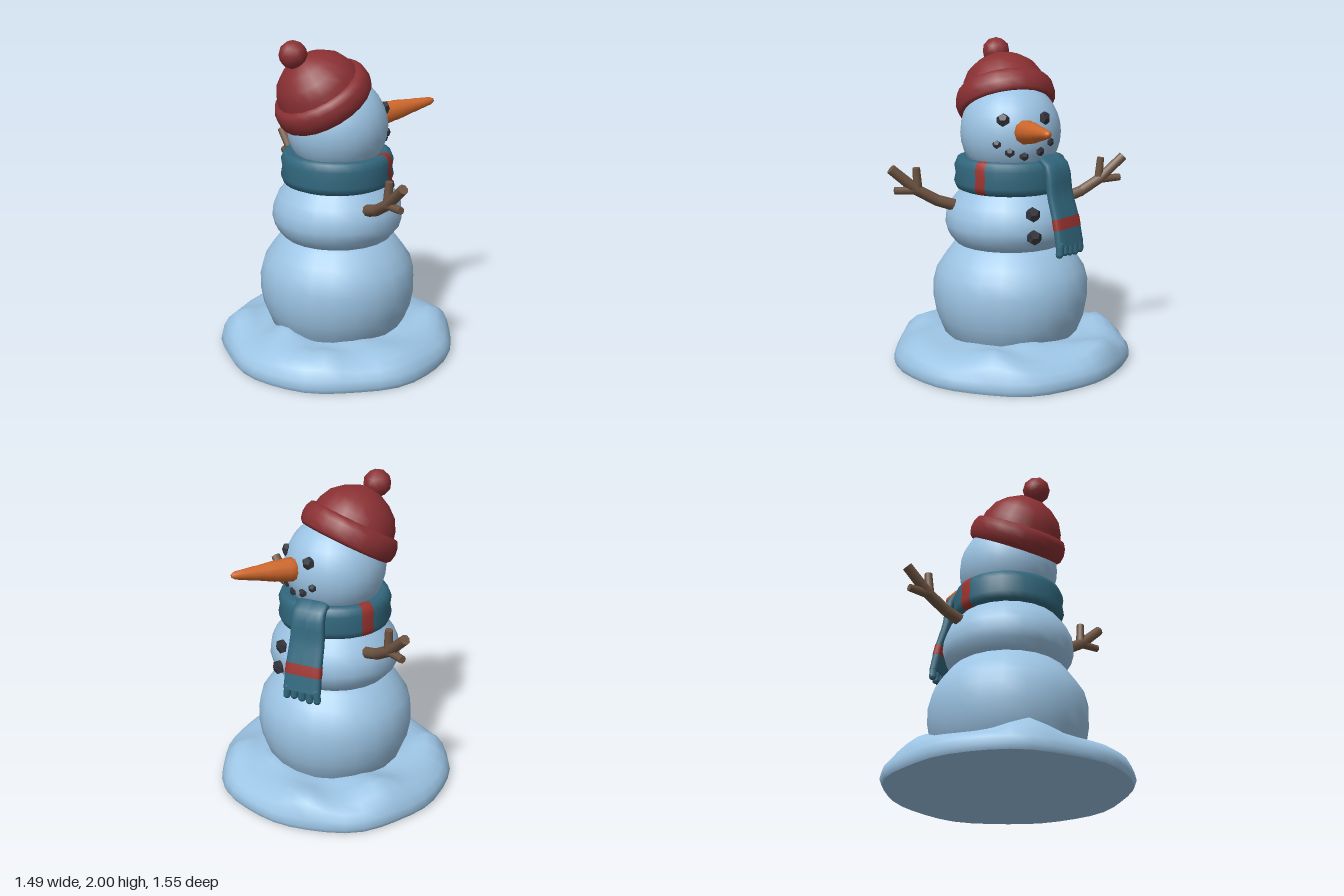
import * as THREE from 'three';
import { mergeVertices } from 'three/addons/utils/BufferGeometryUtils.js';

const paint = (name, color) => {
  const m = new THREE.MeshStandardMaterial({ color });
  m.name = name;
  return m;
};

const pts = (list) => list.map(([r, y]) => new THREE.Vector2(r, y));

// Smooth the normals after vertices have been moved
function smooth(geo) {
  geo.deleteAttribute('normal');
  geo.deleteAttribute('uv');
  const g = mergeVertices(geo, 1e-5);
  g.computeVertexNormals();
  return g;
}

// Move each vertex by a rule
function warp(geo, rule) {
  const p = geo.attributes.position;
  const v = new THREE.Vector3();
  for (let i = 0; i < p.count; i++) {
    rule(v.fromBufferAttribute(p, i));
    p.setXYZ(i, v.x, v.y, v.z);
  }
  return geo;
}

export function createModel() {
  const model = new THREE.Group();
  model.name = 'snowman';
  const snow = paint('snow', 0x9cc4e4);
  const hatRed = paint('hatRed', 0x8a3033);
  const stripeRed = paint('stripeRed', 0x9c3430);
  const teal = paint('scarfTeal', 0x32687e);
  const orange = paint('carrotOrange', 0xd0682c);
  const coal = paint('coal', 0x31323a);
  const bark = paint('bark', 0x6e5442);

  const add = (name, geo, mat, parent = model) => {
    const mesh = new THREE.Mesh(geo, mat);
    mesh.name = name;
    parent.add(mesh);
    return mesh;
  };
  const group = (name) => {
    const g = new THREE.Group();
    g.name = name;
    model.add(g);
    return g;
  };

  // Lumpy snow mound with a flat underside
  const lumps = [[-0.56, -0.28], [0.5, -0.45], [0.56, 0.28], [-0.35, 0.5], [0.42, 0.05], [-0.42, 0.1], [0.05, -0.58]];
  const mound = (v) => {
    const a = Math.atan2(v.z, v.x);
    const k = 1 + 0.012 * Math.sin(5 * a + 1) + 0.008 * Math.sin(9 * a);
    v.x *= k;
    v.z *= k;
    if (v.y > 0.1) {
      v.y += 0.012 * Math.sin(6 * a + 8 * Math.hypot(v.x, v.z));
      for (const [x, z] of lumps) v.y += 0.05 * Math.exp(-((v.x - x) ** 2 + (v.z - z) ** 2) / 0.012);
    }
  };
  const moundProfile = pts([[0.73, 0], [0.745, 0.03], [0.735, 0.075], [0.705, 0.12], [0.65, 0.155],
    [0.59, 0.175], [0.53, 0.18], [0.47, 0.185], [0.42, 0.19], [0.2, 0.19]]);
  add('snowMound', smooth(warp(new THREE.LatheGeometry(moundProfile, 40), mound)), snow);
  add('moundUnderside', smooth(warp(new THREE.LatheGeometry(pts([[0, 0], [0.73, 0]]), 40), mound)), snow);

  // Stacked snowballs
  const lower = pts([[0.36, 0.1], [0.43, 0.2], [0.47, 0.3], [0.488, 0.4], [0.488, 0.5], [0.465, 0.59],
    [0.42, 0.66], [0.36, 0.74], [0.28, 0.8], [0, 0.84]]);
  add('lowerBody', new THREE.LatheGeometry(lower, 22), snow);
  const upper = pts([[0.28, 0.7], [0.35, 0.77], [0.39, 0.82], [0.407, 0.88], [0.4, 0.95],
    [0.37, 1.02], [0.32, 1.08], [0.28, 1.13], [0.24, 1.22]]);
  add('upperBody', new THREE.LatheGeometry(upper, 22), snow);
  const headY = 1.45, headR = 0.312;
  add('head', new THREE.SphereGeometry(headR, 22, 16), snow).position.y = headY;

  // Coal eyes, mouth and buttons, flattened against the snow
  const lump = (name, x, y, z, r) => {
    const mesh = add(name, new THREE.DodecahedronGeometry(r), coal);
    mesh.position.set(x, y, z);
    mesh.rotation.y = -Math.atan2(z, x);
    mesh.scale.x = 0.65;
  };
  const onHead = (name, y, z, r) => lump(name, Math.sqrt(headR ** 2 - (y - headY) ** 2 - z * z), y, z, r);
  for (const s of [-1, 1]) {
    onHead('eye', 1.555, 0.13 * s, 0.042);
    onHead('mouthCoal', 1.41, 0.168 * s, 0.027);
    onHead('mouthCoal', 1.36, 0.095 * s, 0.03);
  }
  onHead('mouthCoal', 1.335, 0.008, 0.029);
  lump('upperButton', 0.39, 1.0, -0.015, 0.048);
  lump('lowerButton', 0.415, 0.865, -0.015, 0.048);

  // Carrot nose with ridges
  const carrot = pts([[0, 0], [0.06, 0], [0.074, 0.03], [0.071, 0.07], [0.062, 0.13], [0.063, 0.15],
    [0.053, 0.21], [0.043, 0.27], [0.042, 0.29], [0.031, 0.36], [0.024, 0.41], [0.012, 0.43], [0, 0.432]]);
  const nose = add('carrotNose', new THREE.LatheGeometry(carrot, 10), orange);
  nose.position.set(0.272, 1.478, 0);
  nose.rotation.z = -Math.PI / 2 + 0.11;

  // Tilted knitted hat
  const hat = group('hat');
  hat.position.set(-0.07, 1.585, 0);
  hat.rotation.z = 0.53;
  const brim = pts([[0.25, 0.01], [0.285, -0.008], [0.303, 0.01], [0.312, 0.055], [0.306, 0.1],
    [0.288, 0.135], [0.25, 0.145]]);
  add('hatBrim', new THREE.LatheGeometry(brim, 22), hatRed, hat);
  const dome = pts([[0.268, 0.11], [0.252, 0.18], [0.215, 0.25], [0.15, 0.305], [0.07, 0.345], [0, 0.36]]);
  add('hatCrown', new THREE.LatheGeometry(dome, 20), hatRed, hat);
  add('hatPompom', new THREE.IcosahedronGeometry(0.087, 1), hatRed, hat).position.set(-0.03, 0.4, 0);

  // Scarf ring, with two red bands between the teal lengths
  const scarf = group('scarf');
  const wrap = pts([[0.24, 1.1], [0.3, 1.09], [0.335, 1.105], [0.35, 1.145], [0.34, 1.195],
    [0.348, 1.245], [0.33, 1.288], [0.3, 1.3], [0.24, 1.28]]);
  const bands = [[0.6, 0.8, stripeRed], [0.8, 3.08, teal], [3.08, 3.32, stripeRed], [3.32, 0.6 + 2 * Math.PI, teal]];
  for (const [from, to, mat] of bands) {
    const n = Math.ceil((to - from) / 0.22);
    add(mat === teal ? 'scarfWrap' : 'scarfBand', new THREE.LatheGeometry(wrap, n, from, to - from), mat, scarf);
  }

  // Hanging scarf end: local x is its width, local z points outward
  const tail = group('scarfEnd');
  tail.rotation.y = Math.PI / 2 + 0.576;
  const path = new THREE.CatmullRomCurve3([[1.27, 0.27], [1.305, 0.315], [1.26, 0.36], [1.1, 0.385],
    [0.95, 0.43], [0.8, 0.46]].map(([y, r]) => new THREE.Vector3(0, y, r)));
  const power = (n, e) => Math.sign(n) * Math.abs(n) ** e;
  const tailPiece = (name, t0, t1, mat, grow = 0) => {
    const geo = warp(new THREE.CylinderGeometry(1, 1, 1, 20, 8), (v) => {
      const t = t0 + (t1 - t0) * (0.5 - v.y);
      const c = path.getPointAt(t), d = path.getTangentAt(t);
      const u = power(v.x, 0.5) * (0.1 + 0.022 * t + grow);
      const w = power(v.z, 0.6) * (0.03 + grow);
      v.set(u, c.y + d.z * w, c.z - d.y * w);
    });
    geo.computeVertexNormals();
    add(name, geo, mat, tail);
  };
  tailPiece('scarfEndCloth', 0, 0.72, teal);
  tailPiece('scarfEndStripe', 0.72, 0.83, stripeRed, 0.002);
  tailPiece('scarfEndHem', 0.83, 1, teal);
  for (let i = -2; i <= 2; i++) {
    const tassel = add('scarfTassel', new THREE.CapsuleGeometry(0.024, 0.06, 3, 8), teal, tail);
    tassel.position.set(i * 0.049, 0.785 - 0.006 * (i % 2), 0.462);
    tassel.rotation.z = i * 0.06;
  }

  // Twig arms, mirrored in z
  const rod = (name, a, b, ra, rb, parent) => {
    const from = new THREE.Vector3(...a), to = new THREE.Vector3(...b);
    const dir = to.clone().sub(from);
    const mesh = add(name, new THREE.CylinderGeometry(rb, ra, dir.length(), 8), bark, parent);
    mesh.position.copy(from).addScaledVector(dir, 0.5);
    mesh.quaternion.setFromUnitVectors(new THREE.Vector3(0, 1, 0), dir.normalize());
    const joint = add('twigJoint', new THREE.SphereGeometry(ra * 0.99, 8, 6), bark, parent);
    joint.position.copy(from);
  };
  for (const s of [1, -1]) {
    const arm = group(s > 0 ? 'leftArm' : 'rightArm');
    rod('armBase', [0, 0.99, 0.32 * s], [0, 1.04, 0.47 * s], 0.038, 0.035, arm);
    rod('armMiddle', [0, 1.04, 0.47 * s], [0, 1.115, 0.6 * s], 0.035, 0.034, arm);
    rod('longTwig', [0, 1.115, 0.6 * s], [0, 1.25, 0.755 * s], 0.033, 0.031, arm);
    rod('upperTwig', [0, 1.12, 0.6 * s - 0.01 * s], [0.005, 1.25, 0.6 * s], 0.028, 0.024, arm);
    rod('lowerTwig', [0, 1.11, 0.59 * s], [0, 1.115, 0.735 * s], 0.027, 0.023, arm);
  }

  return model;
}
